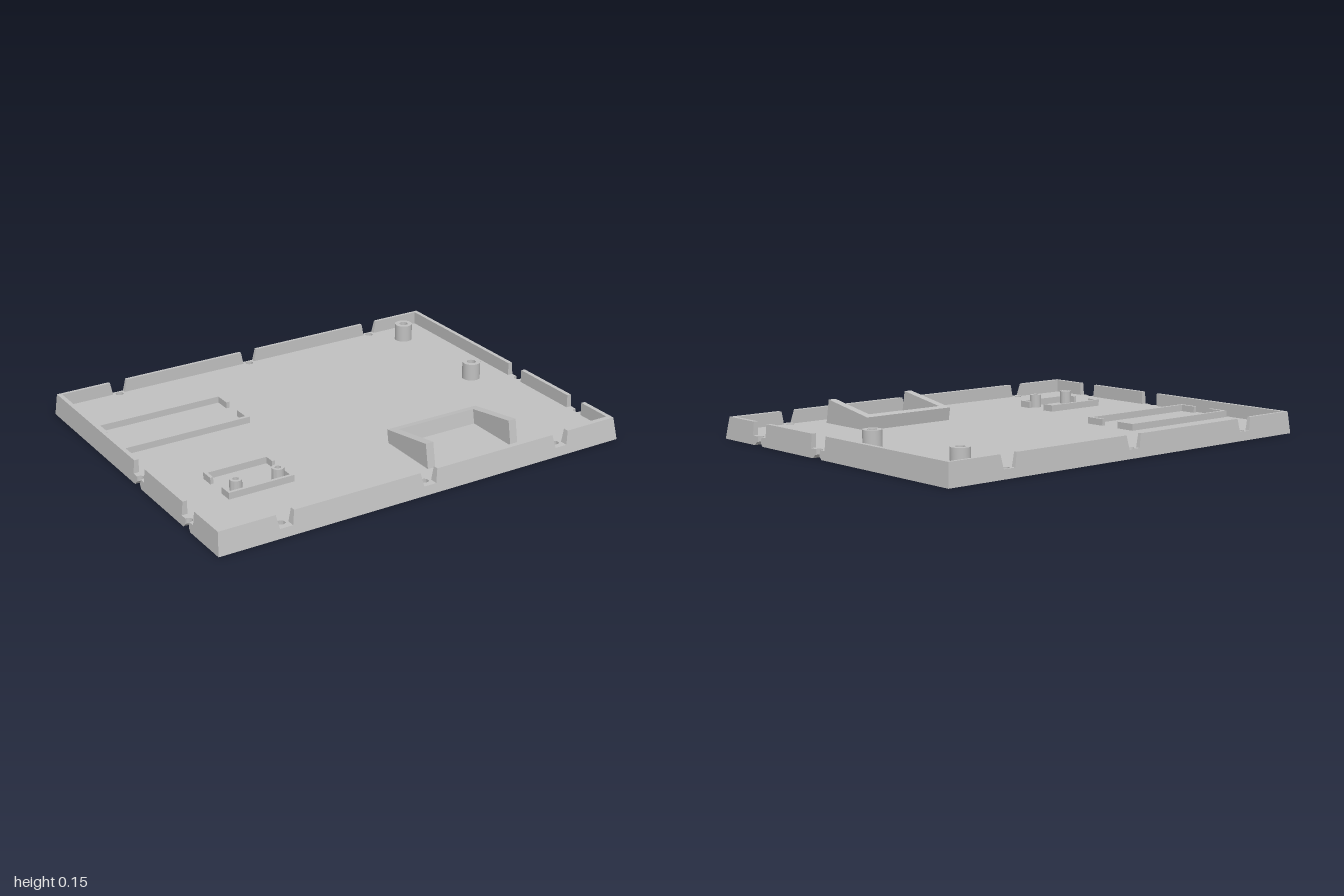
import * as THREE from 'three';
import { toCreasedNormals } from 'three/addons/utils/BufferGeometryUtils.js';

const FLOOR = 0.04, RIM = 0.1;
const INNER_X = 0.97, INNER_FRONT = 0.735, INNER_BACK = -0.755;
const SCREW_X = [-0.69, 0, 0.69], SIDE_Z = [0.077, 0.515];

// Tapered outer faces of the tray at height y
const outerX = y => 1 - 0.1 * y;
const outerFront = y => 0.78 - 0.2 * y;
const outerBack = y => -0.78 + 0.1 * y;

// Joins horizontal cross-sections {y, outline, holes} of [x, z] points into a closed solid
function loft(levels, reshape) {
  const pos = [];
  const put = (...pts) => pts.forEach(p => pos.push(...p));
  const rings = levels.map(l => [l.outline, ...(l.holes || [])].map((pts, i) => {
    const v = pts.map(p => new THREE.Vector2(p[0], p[1]));
    if ((THREE.ShapeUtils.area(v) > 0) !== (i === 0)) v.reverse();
    return v;
  }));
  const at = (v, k) => [v.x, levels[k].y, v.y];
  for (let k = 0; k + 1 < levels.length; k++) {
    rings[k].forEach((ring, r) => ring.forEach((a, i) => {
      const j = (i + 1) % ring.length, top = rings[k + 1][r];
      const a0 = at(a, k), b0 = at(ring[j], k), a1 = at(top[i], k + 1), b1 = at(top[j], k + 1);
      put(a0, a1, b1, a0, b1, b0);
    }));
  }
  for (const k of [0, levels.length - 1]) {
    const [outline, ...holes] = rings[k];
    const all = rings[k].flat();
    for (const tri of THREE.ShapeUtils.triangulateShape(outline, holes)) {
      const t = tri.map(i => all[i]);
      if ((THREE.ShapeUtils.area(t) > 0) !== (k === 0)) t.reverse();
      put(...t.map(v => at(v, k)));
    }
  }
  if (reshape) {
    for (let i = 0; i < pos.length; i += 3) {
      [pos[i], pos[i + 1], pos[i + 2]] = reshape(pos[i], pos[i + 1], pos[i + 2]);
    }
  }
  const geo = new THREE.BufferGeometry();
  geo.setAttribute('position', new THREE.Float32BufferAttribute(pos, 3));
  return toCreasedNormals(geo, 0.5);
}

function circle(x, z, r, n = 32) {
  return Array.from({ length: n }, (_, i) => {
    const t = i / n * Math.PI * 2;
    return [x + r * Math.cos(t), z + r * Math.sin(t)];
  });
}

// Floor cross-section: screw holes near front and back, round bites in the sides
function floorSection(y, r) {
  const X = outerX(y), cx = 0.99, a = Math.acos((X - cx) / r);
  const side = [[X, outerBack(y)]];
  for (const z of SIDE_Z) {
    for (let i = 0; i <= 20; i++) {
      const t = -a - (2 * Math.PI - 2 * a) * i / 20;
      side.push([cx + r * Math.cos(t), z + r * Math.sin(t)]);
    }
  }
  side.push([X, outerFront(y)]);
  const outline = [...side, ...side.map(([x, z]) => [-x, z]).reverse()];
  const holes = SCREW_X.flatMap(x => [circle(x, 0.727, r), circle(x, -0.75, r)]);
  return { y, outline, holes };
}

// U-shaped outline; the bar lies at zBar and the arms reach to zEnd
function uOutline(x0, x1, zBar, zEnd, arm, bar = arm) {
  const zi = zBar + Math.sign(zEnd - zBar) * bar;
  return [[x0, zBar], [x1, zBar], [x1, zEnd], [x1 - arm, zEnd],
    [x1 - arm, zi], [x0 + arm, zi], [x0 + arm, zEnd], [x0, zEnd]];
}

export function createModel() {
  const model = new THREE.Group();
  const grey = new THREE.MeshStandardMaterial({ color: 0xc0c0c0 });
  grey.name = 'plain grey';
  const add = (name, geo) => {
    const mesh = new THREE.Mesh(geo, grey);
    mesh.name = name;
    model.add(mesh);
  };
  const prism = (outline, top, holes) => loft([{ y: FLOOR, outline, holes }, { y: top, outline, holes }]);

  // Floor plate with countersunk screw holes
  add('floorPlate', loft([floorSection(0, 0.031), floorSection(0.015, 0.018), floorSection(FLOOR, 0.018)]));

  // Front and back walls, split by notches with slanted sides
  for (const [name, inner, outer] of [['frontWall', INNER_FRONT, outerFront], ['backWall', INNER_BACK, outerBack]]) {
    const stops = [-INNER_X, ...SCREW_X, INNER_X];
    for (let i = 0; i < 4; i++) {
      const section = (y, gap) => {
        const x0 = stops[i] + (i > 0 ? gap : 0), x1 = stops[i + 1] - (i < 3 ? gap : 0);
        return { y, outline: [[x0, inner], [x1, inner], [x1, outer(y)], [x0, outer(y)]] };
      };
      add(name, loft([section(FLOOR, 0.03), section(RIM, 0.042)]));
    }
  }

  // Side walls, split by straight notches
  for (const s of [1, -1]) {
    for (let i = 0; i < 3; i++) {
      const section = y => {
        const z0 = i > 0 ? SIDE_Z[i - 1] + 0.049 : outerBack(y);
        const z1 = i < 2 ? SIDE_Z[i] - 0.049 : outerFront(y);
        const X = s * outerX(y), I = s * INNER_X;
        return { y, outline: [[I, z0], [X, z0], [X, z1], [I, z1]] };
      };
      add(s > 0 ? 'leftWall' : 'rightWall', loft([section(FLOOR), section(RIM)]));
    }
  }

  // Hollow screw posts
  for (const [name, x, z, r, bore, top] of [
    ['tallPost', 0.805, -0.615, 0.042, 0.021, 0.12],
    ['tallPost', 0.805, -0.045, 0.042, 0.021, 0.12],
    ['smallPost', -0.712, 0.4, 0.027, 0.013, RIM],
    ['smallPost', -0.512, 0.4, 0.027, 0.013, RIM]]) {
    add(name, prism(circle(x, z, r), top, [circle(x, z, bore)]));
  }

  // Low brackets in facing pairs
  add('largeBracket', prism(uOutline(-0.955, -0.333, -0.435, -0.343, 0.016), 0.07));
  add('largeBracket', prism(uOutline(-0.955, -0.333, -0.152, -0.245, 0.016), 0.07));
  add('smallBracket', prism(uOutline(-0.77, -0.46, 0.225, 0.287, 0.014), 0.07));
  add('smallBracket', prism(uOutline(-0.77, -0.46, 0.447, 0.385, 0.014), 0.07));

  // Sloping cradle, open to the front and leaning back
  const cradle = uOutline(0.075, 0.548, 0.347, 0.647, 0.038, 0.036);
  add('slopingCradle', loft([{ y: FLOOR, outline: cradle }, { y: RIM, outline: cradle }], (x, y, z) => {
    const h = y > 0.05 ? 0.1 + (z - 0.347) * 0.165 : y;
    return [x, h, z - (h - FLOOR) * 0.18];
  }));

  return model;
}
